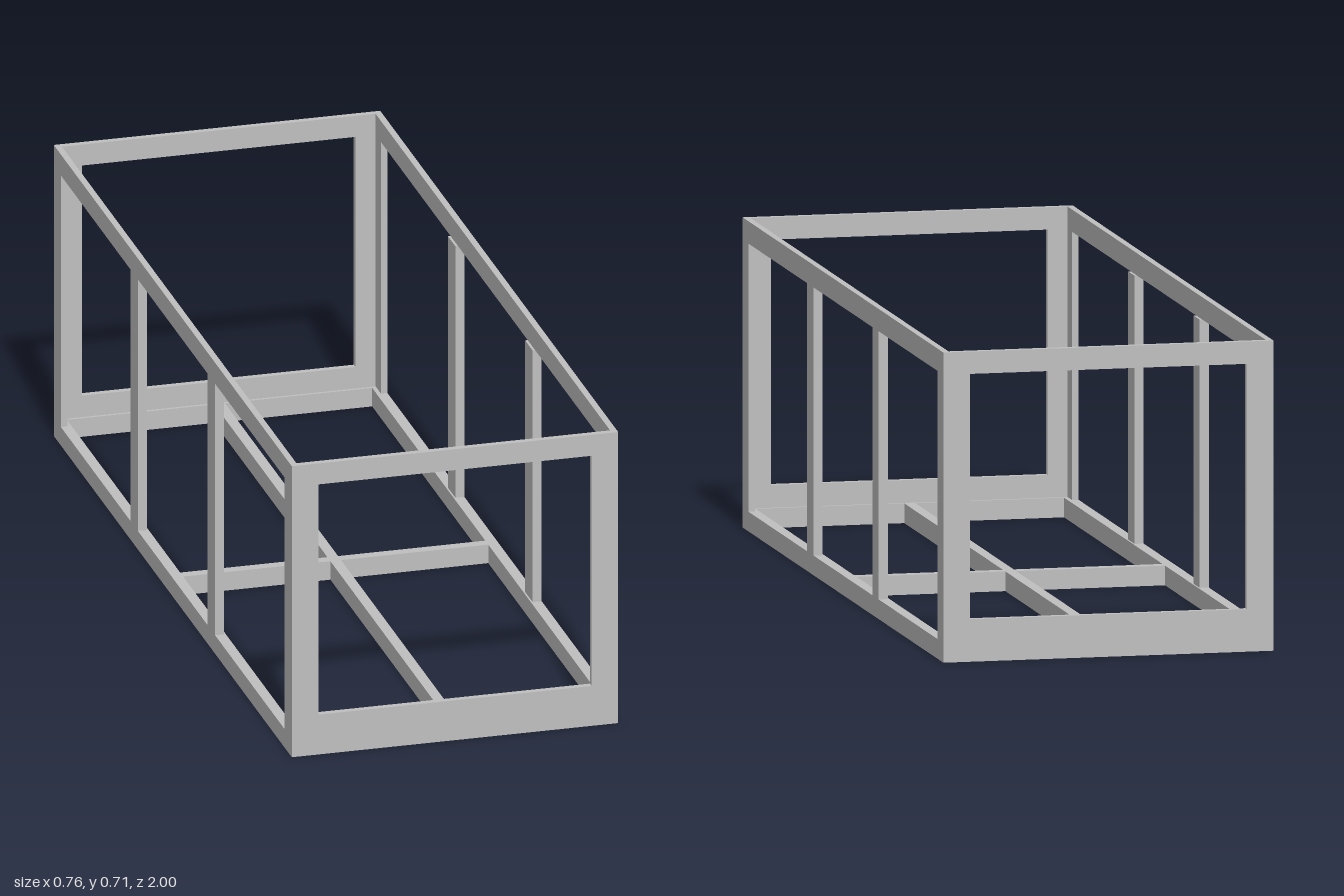
import * as THREE from 'three';

const W = 0.382, H = 0.708, L = 1;           // half width, height, half length
const PLATE = 0.015;                          // wall thickness of the angle sections
const FLOOR = 0.025, FLOOR_H = 0.045;         // floor bar thickness and height

const steel = new THREE.MeshStandardMaterial({ color: 0xc0c0c0 });
steel.name = 'grey steel';

// Flat frame: rectangle with rectangular openings [x0, y0, x1, y1]
function framePlate(halfWidth, openings) {
  const outline = (x0, y0, x1, y1, Type) => new Type([
    new THREE.Vector2(x0, y0), new THREE.Vector2(x1, y0),
    new THREE.Vector2(x1, y1), new THREE.Vector2(x0, y1),
  ]);
  const shape = outline(-halfWidth, 0, halfWidth, H, THREE.Shape);
  for (const o of openings) shape.holes.push(outline(...o, THREE.Path));
  return new THREE.ExtrudeGeometry(shape, { depth: PLATE, bevelEnabled: false });
}

export function createModel() {
  const model = new THREE.Group();
  model.name = 'openFrame';

  const add = (name, geometry, x, y, z, turn = 0) => {
    const mesh = new THREE.Mesh(geometry, steel);
    mesh.name = name;
    mesh.position.set(x, y, z);
    mesh.rotation.y = turn;
    model.add(mesh);
  };
  const bar = (name, w, h, d, x, y, z) => add(name, new THREE.BoxGeometry(w, h, d), x, y, z);

  // End frames with a deep lower rail
  const endFrame = framePlate(W, [[-0.32, 0.097, 0.32, 0.657]]);
  add('frontFrame', endFrame, 0, 0, L - PLATE);
  add('backFrame', endFrame, 0, 0, -L);

  // Side frames with two middle posts, fitted between the end frames
  const sideFrame = framePlate(L - PLATE, [
    [-0.94, FLOOR_H, -0.356, 0.657],
    [-0.293, FLOOR_H, 0.293, 0.657],
    [0.356, FLOOR_H, 0.94, 0.657],
  ]);
  add('leftFrame', sideFrame, W - PLATE, 0, 0, Math.PI / 2);
  add('rightFrame', sideFrame, -W, 0, 0, Math.PI / 2);

  // Thicker floor edges and middle posts on the inside
  const ledge = FLOOR - PLATE;
  for (const s of [-1, 1]) {
    const x = s * (W - PLATE - ledge / 2);
    bar('floorSideRail', ledge, FLOOR_H, 2 * (L - PLATE), x, FLOOR_H / 2, 0);
    bar('floorEndRail', 2 * (W - FLOOR), FLOOR_H, 0.007, 0, FLOOR_H / 2, s * (L - PLATE - 0.0035));
    for (const z of [-0.3245, 0.3245]) {
      bar('middlePost', 0.006, 0.657 - FLOOR_H, 0.063, s * (W - PLATE - 0.003), (0.657 + FLOOR_H) / 2, z);
    }
  }

  // Floor cross: long centre bar and two half cross bars
  bar('centreBar', FLOOR, FLOOR_H, 2 * (L - PLATE - 0.007), 0, FLOOR_H / 2, 0);
  const half = W - FLOOR - FLOOR / 2;
  for (const s of [-1, 1]) {
    bar('crossBar', half, FLOOR_H, FLOOR, s * (FLOOR / 2 + half / 2), FLOOR_H / 2, -0.015);
  }
  return model;
}
